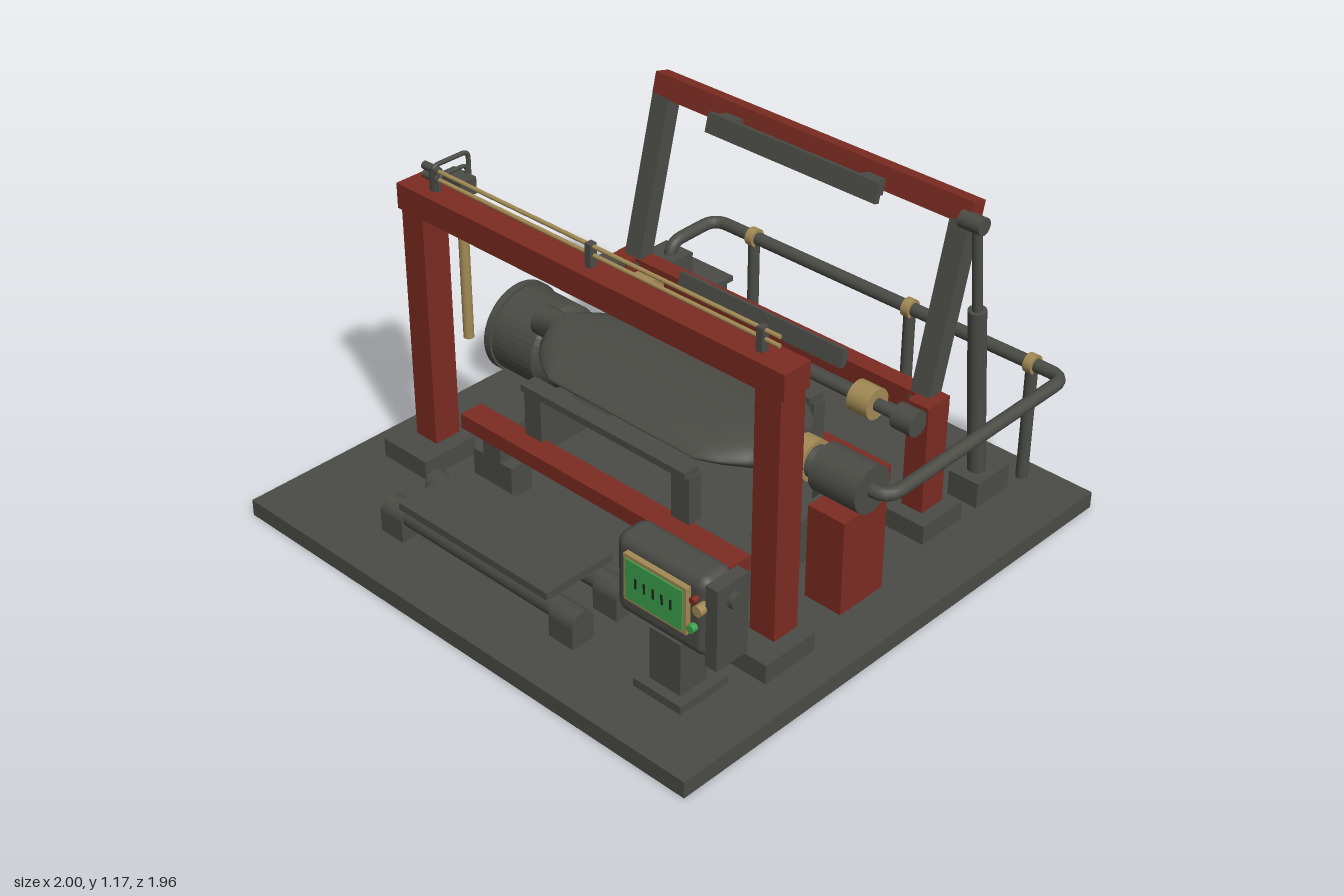
import * as THREE from 'three';
import { RoundedBoxGeometry } from 'three/addons/geometries/RoundedBoxGeometry.js';

const mat = (name, color, side = THREE.FrontSide) =>
  Object.assign(new THREE.MeshStandardMaterial({ color, side }), { name });
const V = (x, y, z) => new THREE.Vector3(x, y, z);

export function createModel() {
  const model = new THREE.Group();
  model.name = 'pressMachine';
  const dark = mat('darkSteel', 0x4b4c46);
  const red = mat('redFrame', 0x7c2c22);
  const brass = mat('brass', 0xa38a55);
  const green = mat('screenGreen', 0x3ca34c);
  const black = mat('markBlack', 0x1c2a1e);

  const add = (name, geo, material, parent = model) => {
    const m = new THREE.Mesh(geo, material);
    m.name = name;
    parent.add(m);
    return m;
  };
  // Box given by its limits on each axis
  const box = (name, material, x0, x1, y0, y1, z0, z1, parent) => {
    const m = add(name, new THREE.BoxGeometry(x1 - x0, y1 - y0, z1 - z0), material, parent);
    m.position.set((x0 + x1) / 2, (y0 + y1) / 2, (z0 + z1) / 2);
    return m;
  };
  // Cylinder or cone between two points
  const rod = (name, material, a, b, r0, r1 = r0, open = false) => {
    const d = b.clone().sub(a);
    const m = add(name, new THREE.CylinderGeometry(r1, r0, d.length(), 28, 1, open), material);
    m.position.copy(a).add(b).multiplyScalar(0.5);
    m.quaternion.setFromUnitVectors(V(0, 1, 0), d.normalize());
    return m;
  };
  // Pipe through points with rounded corners
  const pipe = (name, material, pts, r, bend) => {
    const path = new THREE.CurvePath();
    let from = pts[0];
    for (let i = 1; i < pts.length - 1; i++) {
      const p = pts[i];
      const a = p.clone().add(pts[i - 1].clone().sub(p).setLength(bend));
      const b = p.clone().add(pts[i + 1].clone().sub(p).setLength(bend));
      path.add(new THREE.LineCurve3(from, a));
      path.add(new THREE.QuadraticBezierCurve3(a, p, b));
      from = b;
    }
    path.add(new THREE.LineCurve3(from, pts[pts.length - 1]));
    return add(name, new THREE.TubeGeometry(path, 140, r, 14), material);
  };

  // Base plate
  box('basePlate', dark, -0.97, 1, 0, 0.06, -0.98, 0.98);

  // Front gantry
  for (const [x, f] of [[-0.75, -0.748], [0.773, 0.775]]) {
    box('gantryFoot', dark, f - 0.105, f + 0.105, 0.06, 0.13, 0.285, 0.505);
    box('gantryPost', red, x - 0.049, x + 0.049, 0.13, 1.0, 0.3, 0.405);
  }
  box('gantryBeam', red, -0.815, 0.835, 0.99, 1.08, 0.297, 0.408);
  box('gantryRail', dark, -0.51, 0.77, 1.0, 1.05, 0.26, 0.297);

  // Thin lines above the gantry
  for (const y of [1.12, 1.15]) {
    rod('thinLine', brass, V(-0.72, y, 0.35), V(0.765, y, 0.35), 0.007);
    rod('lineFitting', dark, V(-0.74, y, 0.35), V(-0.67, y, 0.35), 0.014);
  }
  for (const x of [-0.69, 0.012, 0.7]) box('lineClip', dark, x - 0.012, x + 0.012, 1.08, 1.16, 0.338, 0.366);
  pipe('feedPipe', dark, [V(-0.69, 1.08, 0.36), V(-0.69, 1.165, 0.36), V(-0.69, 1.165, 0.21), V(-0.69, 0.95, 0.21)], 0.008, 0.025);
  pipe('feedPipe', dark, [V(-0.675, 1.08, 0.35), V(-0.675, 1.13, 0.35), V(-0.675, 1.13, 0.232), V(-0.675, 1.0, 0.232)], 0.007, 0.02);

  // Hanging ram
  box('ramMount', dark, -0.74, -0.635, 1.04, 1.1, 0.228, 0.297);
  rod('ramBody', dark, V(-0.688, 0.9, 0.248), V(-0.688, 1.06, 0.248), 0.026);
  rod('ramRod', brass, V(-0.688, 0.49, 0.248), V(-0.688, 0.905, 0.248), 0.018);

  // Lower frame, pedestals, brackets and side rails
  for (const [z0, z1, s] of [[-0.38, -0.285, -1], [0.29, 0.38, 1]]) {
    box('lowerBeam', red, -0.595, 0.62, 0.232, 0.287, z0, z1);
    for (const x of [-0.448, 0.467]) {
      box('pedestal', dark, x - 0.092, x + 0.092, 0.06, 0.178, z0, z1);
      box('pedestalNeck', dark, x - 0.042, x + 0.042, 0.178, 0.232, z0, z1);
    }
    const c = s * 0.29;
    for (const x of [-0.318, 0.342]) box('bracketLeg', dark, x - 0.038, x + 0.038, 0.287, 0.46, c - 0.035, c + 0.02);
    box('supportPlate', dark, -0.355, 0.375, 0.46, 0.485, c - 0.03, c + 0.035);
  }
  for (const x of [-0.508, 0.538]) box('sideRail', dark, x - 0.028, x + 0.028, 0.06, 0.23, -0.36, 0.3);

  // Flattened vessel lofted from sections: x, half width, half height, edge sharpness
  const stations = [[-0.595, 0.001, 0.001, 1], [-0.595, 0.055, 0.055, 1], [-0.594, 0.055, 0.055, 1], [-0.505, 0.056, 0.055, 1],
    [-0.48, 0.12, 0.058, 1.2], [-0.44, 0.165, 0.06, 1.3], [-0.37, 0.215, 0.063, 1.4], [-0.3, 0.25, 0.064, 1.45],
    [0.34, 0.25, 0.064, 1.45], [0.41, 0.215, 0.063, 1.4], [0.475, 0.165, 0.06, 1.3], [0.51, 0.12, 0.058, 1.2],
    [0.535, 0.056, 0.055, 1], [0.67, 0.055, 0.055, 1], [0.67, 0.001, 0.001, 1]];
  const N = 40, pos = [], idx = [];
  stations.forEach(([x, w, h, p], i) => {
    for (let j = 0; j < N; j++) {
      const t = (j / N) * Math.PI * 2, s = Math.sin(t);
      pos.push(x, 0.49 + h * Math.sign(s) * Math.abs(s) ** p, w * Math.cos(t));
      if (i === stations.length - 1) continue;
      const a = i * N + j, c = i * N + (j + 1) % N;
      idx.push(a, a + N, c, c, a + N, c + N);
    }
  });
  const hull = new THREE.BufferGeometry();
  hull.setAttribute('position', new THREE.Float32BufferAttribute(pos, 3));
  hull.setIndex(idx);
  hull.computeVertexNormals();
  add('vessel', hull, dark);

  // Drive end with its pedestal
  rod('driveRing', brass, V(0.56, 0.49, 0), V(0.62, 0.49, 0), 0.07);
  rod('driveHousing', dark, V(0.66, 0.49, 0), V(0.845, 0.49, 0), 0.082);
  box('drivePedestal', red, 0.68, 0.825, 0.06, 0.405, -0.1, 0.1);

  // Return pipe with clamped posts
  pipe('returnPipe', dark, [V(0.83, 0.49, 0), V(0.905, 0.49, 0), V(0.905, 0.505, -0.895), V(-0.635, 0.505, -0.895),
    V(-0.635, 0.5, -0.66), V(-0.635, 0.4, -0.66)], 0.023, 0.06);
  for (const x of [-0.445, 0.265, 0.775]) {
    rod('pipePost', dark, V(x, 0.06, -0.895), V(x, 0.49, -0.895), 0.021);
    rod('pipeClamp', brass, V(x - 0.016, 0.505, -0.895), V(x + 0.016, 0.505, -0.895), 0.034);
  }

  // Tank
  box('tank', dark, -0.795, -0.495, 0.06, 0.34, -0.81, -0.55);
  box('tankLid', dark, -0.81, -0.48, 0.34, 0.36, -0.825, -0.535);
  box('tankValve', dark, -0.71, -0.58, 0.36, 0.46, -0.72, -0.56);

  // Open duct with cone and elbow
  const duct = [[0.135, 0.1], [0.135, 0], [0.172, 0], [0.172, 0.03], [0.162, 0.03], [0.162, 0.23], [0.055, 0.38], [0.055, 0.41]];
  const tunnel = add('duct', new THREE.LatheGeometry(duct.map(([r, y]) => new THREE.Vector2(r, y)), 40).toNonIndexed(),
    mat('ductSteel', 0x4b4c46, THREE.DoubleSide));
  tunnel.material = dark;
  tunnel.geometry.computeVertexNormals();
  tunnel.rotation.z = -Math.PI / 2;
  tunnel.position.set(-1, 0.187, -0.258);
  rod('ductBack', dark, V(-0.9, 0.187, -0.258), V(-0.89, 0.187, -0.258), 0.14);
  pipe('ductElbow', dark, [V(-0.64, 0.187, -0.258), V(-0.6, 0.187, -0.258), V(-0.6, 0.187, -0.42), V(-0.6, 0.46, -0.42)], 0.05, 0.035);

  // Rear frame
  for (const x of [-0.65, 0.685]) {
    box('rearFoot', dark, x - 0.095, x + 0.095, 0.06, 0.13, -0.56, -0.36);
    box('rearPost', red, x - 0.042, x + 0.042, 0.13, 0.53, -0.52, -0.415);
  }
  box('rearBeam', red, -0.695, 0.725, 0.455, 0.53, -0.525, -0.46);

  // Roller shaft
  rod('rollerShaft', dark, V(-0.66, 0.49, -0.375), V(0.68, 0.49, -0.375), 0.022);
  rod('shaftBearing', dark, V(-0.7, 0.49, -0.375), V(-0.615, 0.49, -0.375), 0.055);
  rod('shaftBearing', dark, V(0.64, 0.49, -0.375), V(0.72, 0.49, -0.375), 0.045);
  for (const x of [-0.482, 0.512]) rod('shaftCoupling', brass, V(x - 0.042, 0.49, -0.375), V(x + 0.042, 0.49, -0.375), 0.055);

  // Lower jaw
  for (const x of [-0.29, 0.317]) box('jawClip', dark, x - 0.036, x + 0.036, 0.515, 0.57, -0.465, -0.425);
  box('lowerJaw', dark, -0.355, 0.375, 0.53, 0.595, -0.427, -0.41).rotation.x = -0.24;

  // Raised swing frame with its jaw
  const swing = new THREE.Group();
  swing.name = 'swingFrame';
  swing.position.set(0, 0.49, -0.485);
  swing.rotation.x = -0.245;
  model.add(swing);
  for (const x of [-0.627, 0.652]) box('swingArm', dark, x - 0.037, x + 0.037, 0, 0.62, -0.031, 0.031, swing);
  box('swingBar', red, -0.665, 0.69, 0.615, 0.695, -0.031, 0.031, swing);
  for (const x of [-0.29, 0.317]) box('jawClip', dark, x - 0.036, x + 0.036, 0.6, 0.655, 0.031, 0.075, swing);
  box('upperJaw', dark, -0.355, 0.375, 0.585, 0.655, 0.075, 0.095, swing);

  // Lifting cylinder
  box('liftFoot', dark, 0.66, 0.78, 0.06, 0.155, -0.81, -0.64);
  rod('liftBody', dark, V(0.717, 0.15, -0.713), V(0.717, 0.79, -0.647), 0.031);
  rod('liftRod', dark, V(0.717, 0.78, -0.648), V(0.717, 1.11, -0.612), 0.017);
  rod('liftPin', dark, V(0.66, 1.11, -0.612), V(0.745, 1.11, -0.612), 0.03);

  // Front roller table
  for (const z of [0.557, 0.745]) {
    rod('roller', dark, V(-0.48, 0.145, z), V(0.3, 0.145, z), 0.038);
    for (const x of [-0.482, 0.302]) {
      box('rollerBlock', dark, x - 0.052, x + 0.052, 0.06, 0.135, z - 0.045, z + 0.045);
      rod('rollerCap', dark, V(x - 0.052, 0.135, z), V(x + 0.052, 0.135, z), 0.045);
    }
  }
  box('tableTop', dark, -0.43, 0.25, 0.195, 0.222, 0.515, 0.795);

  // Control panel
  box('panelFoot', dark, 0.6, 0.795, 0.06, 0.09, 0.575, 0.78);
  box('panelStand', dark, 0.635, 0.76, 0.06, 0.28, 0.63, 0.745);
  add('panelCase', new RoundedBoxGeometry(0.37, 0.285, 0.13, 4, 0.04), dark).position.set(0.675, 0.41, 0.68);
  box('panelSide', dark, 0.86, 0.905, 0.265, 0.552, 0.617, 0.748);
  box('screenBezel', brass, 0.55, 0.8, 0.35, 0.515, 0.742, 0.764);
  box('screen', green, 0.562, 0.788, 0.362, 0.503, 0.764, 0.769);
  for (let i = 0; i < 5; i++) box('screenMark', black, 0.6 + i * 0.035, 0.608 + i * 0.035, 0.415, 0.45, 0.769, 0.771);
  rod('panelDial', brass, V(0.848, 0.465, 0.735), V(0.848, 0.465, 0.772), 0.018);
  rod('panelButton', red, V(0.822, 0.485, 0.735), V(0.822, 0.485, 0.765), 0.011);
  rod('panelButton', green, V(0.815, 0.38, 0.735), V(0.815, 0.38, 0.765), 0.014);
  rod('sideKnob', dark, V(0.9, 0.49, 0.68), V(0.925, 0.49, 0.68), 0.027);

  return model;
}
